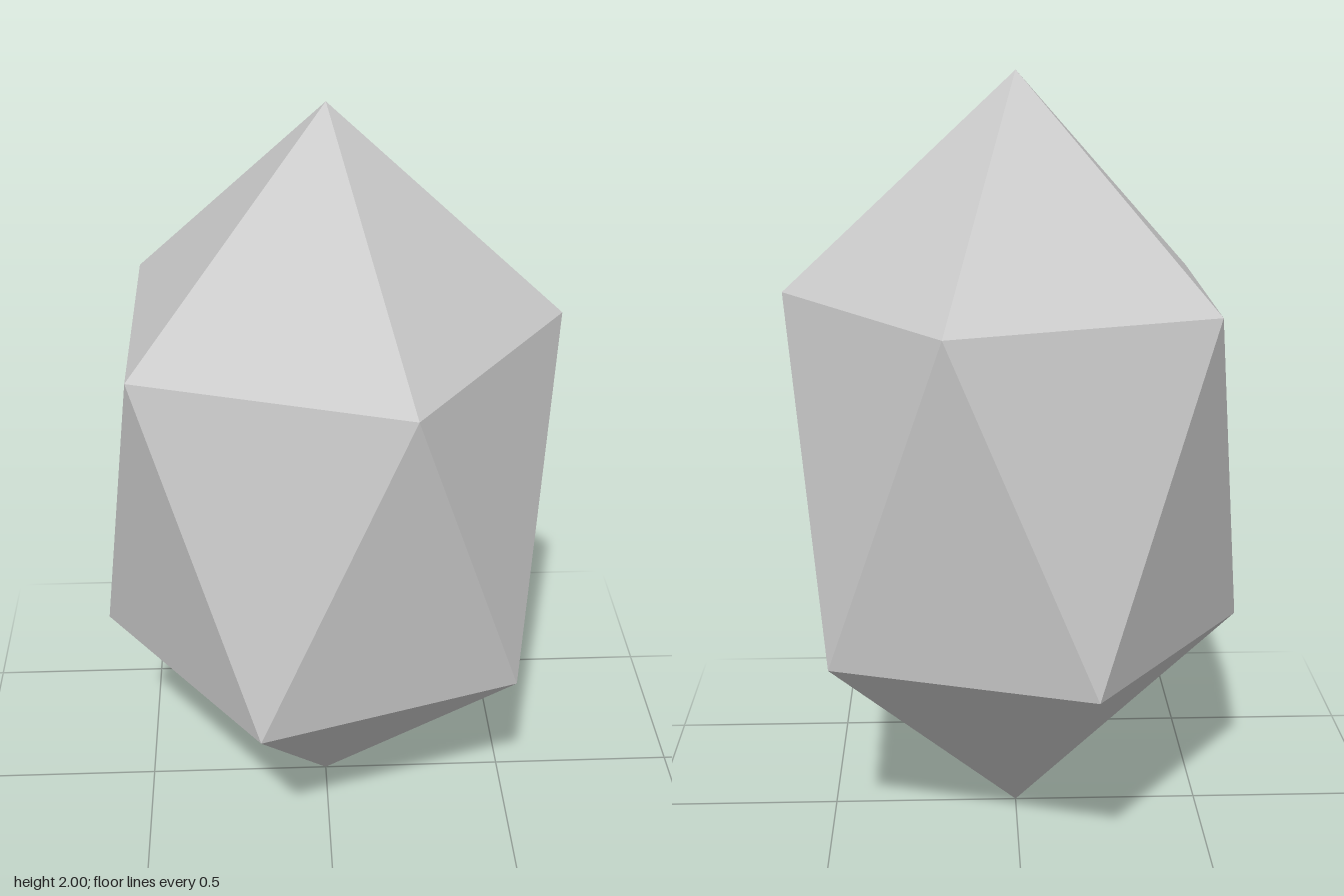
import * as THREE from 'three';

const SIDES = 5;
const RADIUS = 0.596;
const UPPER_Y = 1.447;
const LOWER_Y = 0.553;
const HEIGHT = 2;

// Point i on a five-sided ring; turn is a fraction of one side
function ringPoint(i, y, turn) {
  const a = ((i + turn) / SIDES) * Math.PI * 2;
  return [RADIUS * Math.cos(a), y, RADIUS * Math.sin(a)];
}

export function createModel() {
  const top = [0, HEIGHT, 0];
  const bottom = [0, 0, 0];
  const positions = [];
  const face = (a, b, c) => positions.push(...a, ...b, ...c);

  for (let i = 0; i < SIDES; i++) {
    const u0 = ringPoint(i, UPPER_Y, 0);
    const u1 = ringPoint(i + 1, UPPER_Y, 0);
    const l0 = ringPoint(i, LOWER_Y, 0.5);
    const l1 = ringPoint(i + 1, LOWER_Y, 0.5);
    face(top, u1, u0); // upper point
    face(u0, u1, l0); // waist, pointing down
    face(l0, u1, l1); // waist, pointing up
    face(bottom, l0, l1); // lower point
  }

  const geometry = new THREE.BufferGeometry();
  geometry.setAttribute('position', new THREE.Float32BufferAttribute(positions, 3));
  geometry.computeVertexNormals();

  const crystal = new THREE.Mesh(
    geometry,
    new THREE.MeshStandardMaterial({ color: 0xcccccc, flatShading: true })
  );
  crystal.name = 'crystal';

  const group = new THREE.Group();
  group.name = 'crystalGem';
  group.add(crystal);
  return group;
}
